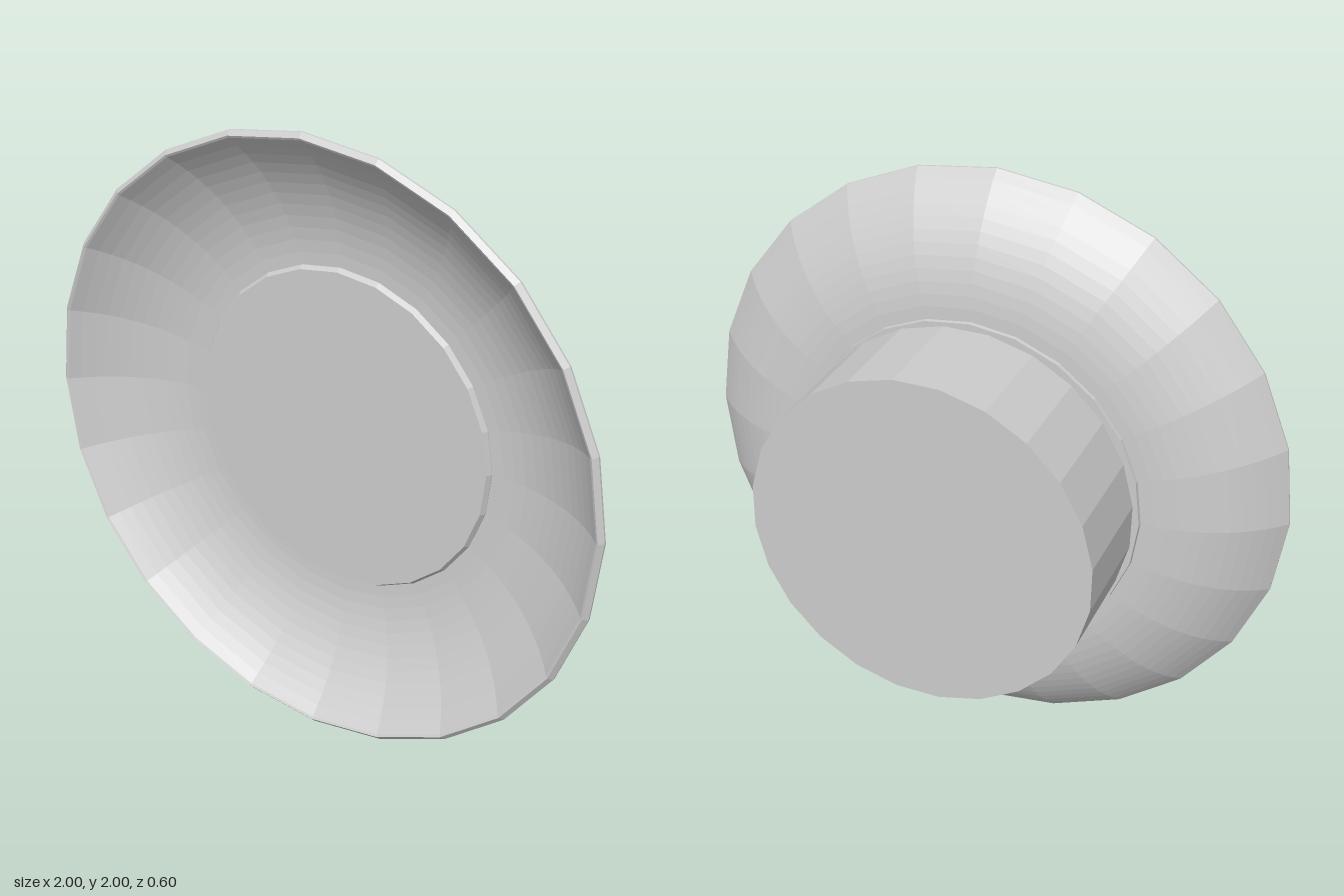
import * as THREE from 'three';

const SIDES = 24;

// Points (radius, depth) on a circular arc that starts flat at (r0, z0) and sweeps outward to r1
function arc(r0, z0, r1, radius, steps = 12) {
  const end = Math.asin((r1 - r0) / radius);
  return Array.from({ length: steps + 1 }, (_, i) => {
    const a = (end * i) / steps;
    return [r0 + radius * Math.sin(a), z0 + radius * (1 - Math.cos(a))];
  });
}

export function createModel() {
  const piece = new THREE.Group();
  const material = new THREE.MeshStandardMaterial({ color: 0xcccccc, flatShading: true });

  const add = (name, geometry) => {
    const mesh = new THREE.Mesh(geometry.rotateX(Math.PI / 2), material);
    mesh.name = name;
    piece.add(mesh);
    return mesh;
  };
  const lathe = points =>
    new THREE.LatheGeometry(points.map(([r, z]) => new THREE.Vector2(r, z)), SIDES);

  // Flared dish: collar and bulging back face, thin lip, then the hollow front face
  const collar = [[0.54, 0.074], [0.575, 0.074], [0.577, 0.086]];
  const backFace = arc(0.58, 0.086, 1.0, 0.565);
  const lip = [[1.0, 0.28], [0.985, 0.294]];
  const frontFace = arc(0.54, 0.1, 0.978, 0.6).reverse();
  add('flaredDish', lathe([...collar, ...backFace, ...lip, ...frontFace]));

  // Slightly raised disc with a bevelled edge in the middle of the dish
  add('centreDisc', lathe([[0.54, 0.09], [0.54, 0.102], [0.53, 0.118], [0, 0.118]]));

  // Drum behind the dish
  const front = 0.09, back = -0.295;
  const drum = add('rearDrum',
    new THREE.CylinderGeometry(0.566, 0.566, front - back, SIDES).rotateY(Math.PI / SIDES));
  drum.position.set(0.01, -0.01, (front + back) / 2);

  // The whole piece is turned very slightly
  piece.rotation.set(0, -0.0075, 0.008);
  piece.position.y = 1;
  const model = new THREE.Group();
  model.add(piece);
  return model;
}
